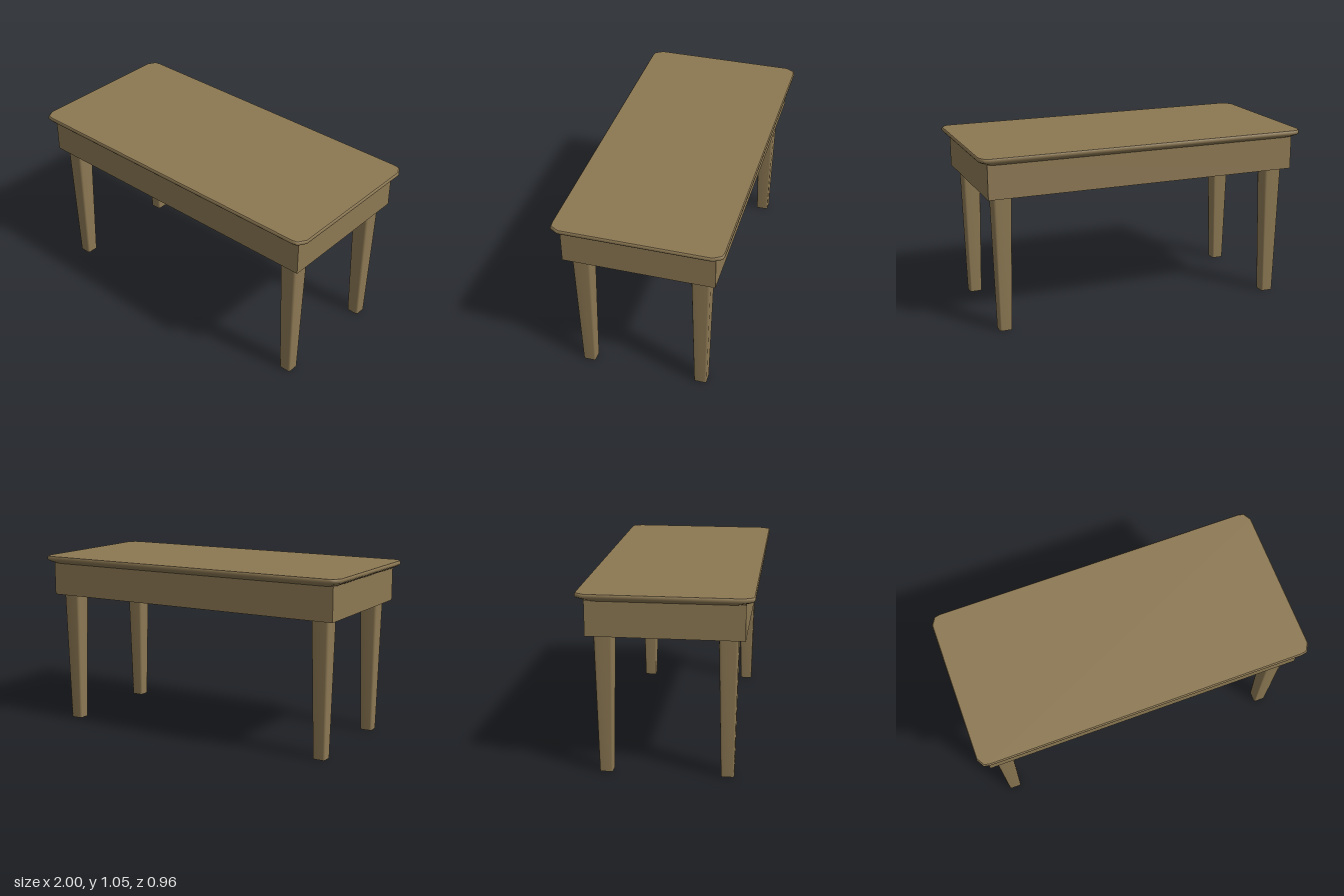
import * as THREE from 'three';

// Full mirrored outline from the points of one corner, anticlockwise seen from above
function mirrorCorner(corner) {
  const back = [...corner].reverse();
  return [
    ...corner.map(([x, w]) => [x, -w]),
    ...back.map(([x, w]) => [-x, -w]),
    ...corner.map(([x, w]) => [-x, w]),
    ...back.map(([x, w]) => [x, w]),
  ];
}

// Closed solid lofted through level outlines: smooth sides, flat caps.
// levels: [y, corner points], from bottom to top
function loft(levels) {
  const rings = levels.map(([y, corner]) => mirrorCorner(corner).map(([x, z]) => [x, y, z]));
  const n = rings[0].length;
  const positions = rings.flat(2);
  const index = [];
  for (let r = 0; r < rings.length - 1; r++) {
    for (let i = 0; i < n; i++) {
      const a = r * n + i, b = r * n + ((i + 1) % n);
      index.push(a, b, a + n, b, b + n, a + n);
    }
  }
  const addCap = (ring, up) => {
    const start = positions.length / 3;
    positions.push(...ring.flat());
    for (let i = 1; i < n - 1; i++) {
      index.push(start, start + (up ? i : i + 1), start + (up ? i + 1 : i));
    }
  };
  addCap(rings[0], false);
  addCap(rings[rings.length - 1], true);
  const geometry = new THREE.BufferGeometry();
  geometry.setAttribute('position', new THREE.Float32BufferAttribute(positions, 3));
  geometry.setIndex(index);
  geometry.computeVertexNormals();
  return geometry;
}

export function createModel() {
  const wood = new THREE.MeshStandardMaterial({ color: 0x8c7853 });
  wood.name = 'wood';
  const table = new THREE.Group();
  table.name = 'table';
  const add = (name, geometry, x = 0, y = 0, z = 0) => {
    const mesh = new THREE.Mesh(geometry, wood);
    mesh.name = name;
    mesh.position.set(x, y, z);
    table.add(mesh);
  };

  // Tabletop with clipped corners and an undercut rim
  const topCorner = [[1, 0.428], [0.973, 0.474], [0.94, 0.48]];
  const inset = (d) => topCorner.map(([x, w]) => [x - d, w - d]);
  add('tabletop', loft([
    [1.0, inset(0.045)], [1.008, inset(0.028)], [1.02, inset(0.007)],
    [1.028, inset(0)], [1.04, inset(0)], [1.046, inset(0.005)],
  ]));

  // Apron: a rectangular frame, open underneath
  const frame = new THREE.Shape();
  frame.moveTo(-0.95, -0.432).lineTo(0.95, -0.432).lineTo(0.95, 0.432).lineTo(-0.95, 0.432).closePath();
  const opening = new THREE.Path();
  opening.moveTo(-0.92, -0.402).lineTo(-0.92, 0.402).lineTo(0.92, 0.402).lineTo(0.92, -0.402).closePath();
  frame.holes.push(opening);
  const apron = new THREE.ExtrudeGeometry(frame, { depth: 0.199, bevelEnabled: false });
  apron.rotateX(-Math.PI / 2);
  add('apron', apron, 0, 0.803, 0);

  // Tapered legs with softened corners
  const legCorner = (h) => [[h, h * 0.72], [h * 0.92, h * 0.92], [h * 0.72, h]];
  const leg = loft([[0, legCorner(0.037)], [1.002, legCorner(0.058)]]);
  for (const [zName, z] of [['front', 0.34], ['back', -0.34]]) {
    for (const [xName, x] of [['Left', 0.857], ['Right', -0.857]]) {
      add(`${zName}${xName}Leg`, leg, x, 0, z);
    }
  }
  return table;
}
